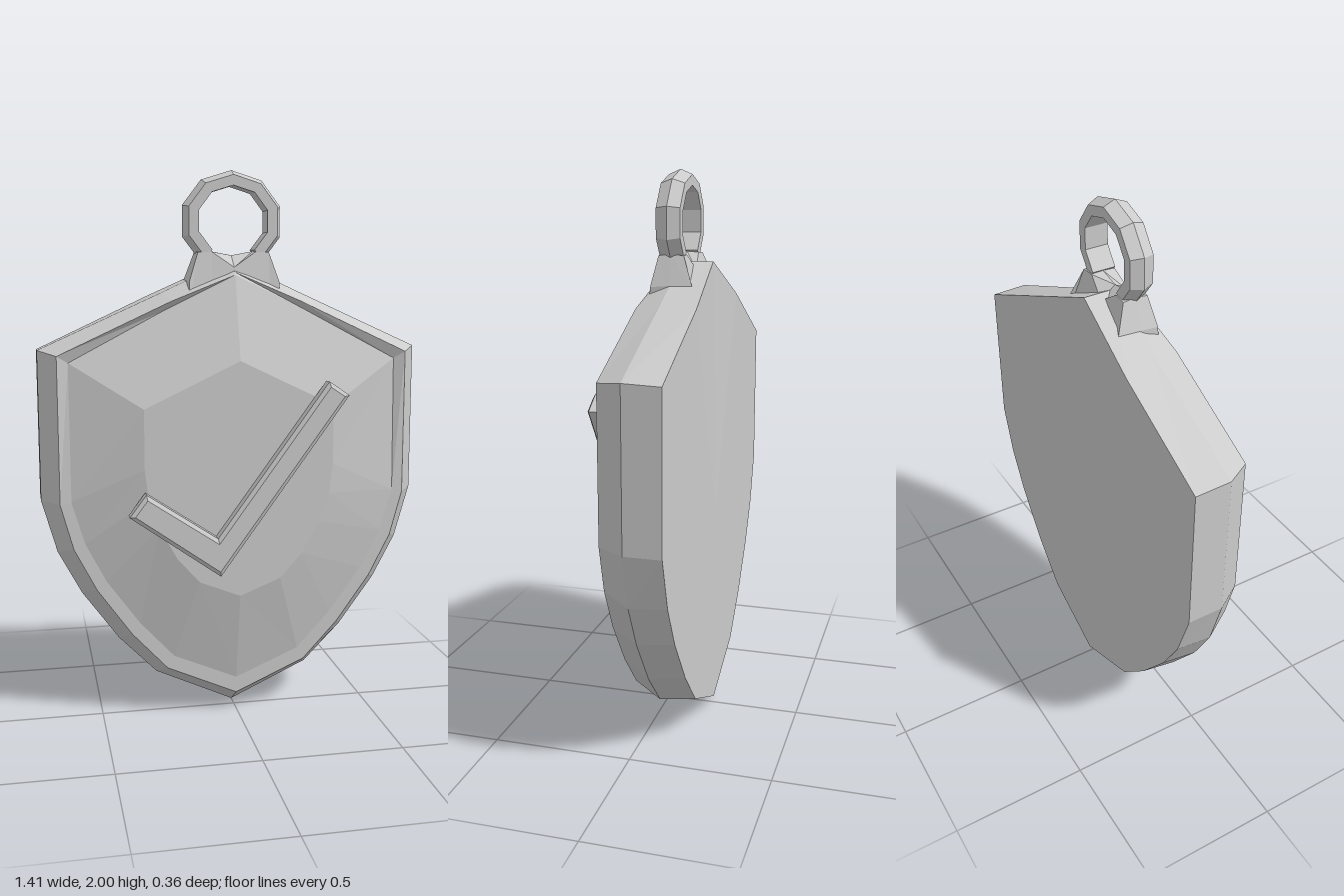
import * as THREE from 'three';

const material = new THREE.MeshStandardMaterial({ color: 0xcccccc, flatShading: true });

// Skin a series of equal-length loops of [x, y, z] and close both ends with fans.
function loft(loops) {
  const pos = [];
  const tri = (a, b, c) => pos.push(...a, ...b, ...c);
  const n = loops[0].length;
  for (let i = 0; i < loops.length - 1; i++) {
    for (let j = 0; j < n; j++) {
      const k = (j + 1) % n;
      tri(loops[i][j], loops[i + 1][j], loops[i + 1][k]);
      tri(loops[i][j], loops[i + 1][k], loops[i][k]);
    }
  }
  const centre = (loop) => [0, 1, 2].map((a) => loop.reduce((s, p) => s + p[a], 0) / n);
  const first = loops[0], last = loops[loops.length - 1];
  const c0 = centre(first), c1 = centre(last);
  for (let j = 0; j < n; j++) {
    const k = (j + 1) % n;
    tri(c0, first[j], first[k]);
    tri(c1, last[k], last[j]);
  }
  const g = new THREE.BufferGeometry();
  g.setAttribute('position', new THREE.Float32BufferAttribute(pos, 3));
  g.computeVertexNormals();
  return g;
}

// Half outline from top apex to bottom tip, mirrored to a full loop.
// A point may carry its own z, otherwise the loop's z is used.
function mirrored(z, half) {
  const right = half.map(([x, y, pz = z]) => [x, y, pz]);
  const left = right.slice(1, -1).reverse().map(([x, y, pz]) => [-x, y, pz]);
  return [...right, ...left];
}

function shieldGeometry() {
  const back = mirrored(-0.18, [[0, 1.685, -0.162], [0.3, 1.55], [0.705, 1.36], [0.705, 0.82],
    [0.645, 0.635], [0.56, 0.48], [0.425, 0.3], [0.285, 0.155], [0, 0.03]]);
  const widest = mirrored(-0.05, [[0, 1.685], [0.25, 1.57], [0.705, 1.365], [0.705, 0.82],
    [0.65, 0.625], [0.565, 0.465], [0.43, 0.28], [0.29, 0.138], [0, 0.005]]);
  const rim = mirrored(0.05, [[0, 1.64, 0.02], [0.235, 1.538], [0.64, 1.35], [0.64, 0.82],
    [0.595, 0.655], [0.515, 0.5], [0.39, 0.325], [0.26, 0.185], [0, 0.07]]);
  const domeEdge = mirrored(0.05, [[0, 1.63, 0.03], [0.265, 1.502, 0.031], [0.6, 1.325, 0.035], [0.6, 0.83],
    [0.555, 0.675], [0.48, 0.53], [0.36, 0.365], [0.235, 0.23], [0, 0.13]]);
  const plateau = mirrored(0.125, [[0, 1.33], [0.17, 1.248], [0.345, 1.165], [0.345, 0.95],
    [0.332, 0.84], [0.295, 0.735], [0.23, 0.62], [0.15, 0.53], [0, 0.47]]);
  return loft([back, widest, rim, domeEdge, plateau]);
}

// Ten-sided hanging ring with a ridged outer edge, open at the foot
function ringGeometry() {
  const section = [[0.162, 0], [0.125, 0], [0.125, -0.085], [0.162, -0.085], [0.18, -0.043]];
  const loops = [];
  for (let deg = -54; deg <= 234; deg += 36) {
    const a = THREE.MathUtils.degToRad(deg);
    loops.push(section.map(([r, z]) => [1.05 * r * Math.cos(a), 1.82 + r * Math.sin(a), z]));
  }
  return loft(loops);
}

// Flared foot joining the ring to the shield, with a V-shaped saddle
function neckGeometry() {
  // x, front top y, front z, middle top y, back z
  const half = [[0.165, 1.605, 0.02, 1.61, -0.13], [0.13, 1.71, 0, 1.715, -0.09],
    [0.08, 1.712, 0, 1.715, -0.088], [0, 1.657, 0.012, 1.7, -0.1]];
  const section = ([x, y, zf, ym, zb]) => [
    [x, 1.53, 0.025], [x, y, zf], [x, ym, -0.045], [x, y, zb], [x, 1.53, -0.14]];
  const left = half.map(([x, ...rest]) => [-x, ...rest]);
  return loft([...left, ...half.slice(0, -1).reverse()].map(section));
}

// Raised tick with a small bevel around its front
function tickGeometry() {
  const outline = [[-0.405, 0.79], [-0.08, 0.56], [0.39, 1.205], [0.315, 1.255], [-0.09, 0.7], [-0.345, 0.87]];
  const shape = new THREE.Shape(outline.map(([x, y]) => new THREE.Vector2(x, y)));
  const g = new THREE.ExtrudeGeometry(shape, {
    depth: 0.04, bevelThickness: 0.01, bevelSize: 0.014, bevelOffset: -0.014, bevelSegments: 1,
  });
  return g.translate(0, 0, 0.129);
}

export function createModel() {
  const group = new THREE.Group();
  group.name = 'shieldPendant';
  const parts = {
    shieldBody: shieldGeometry(),
    hangingRing: ringGeometry(),
    ringNeck: neckGeometry(),
    tickMark: tickGeometry(),
  };
  for (const [name, geometry] of Object.entries(parts)) {
    const mesh = new THREE.Mesh(geometry, material);
    mesh.name = name;
    group.add(mesh);
  }
  return group;
}
